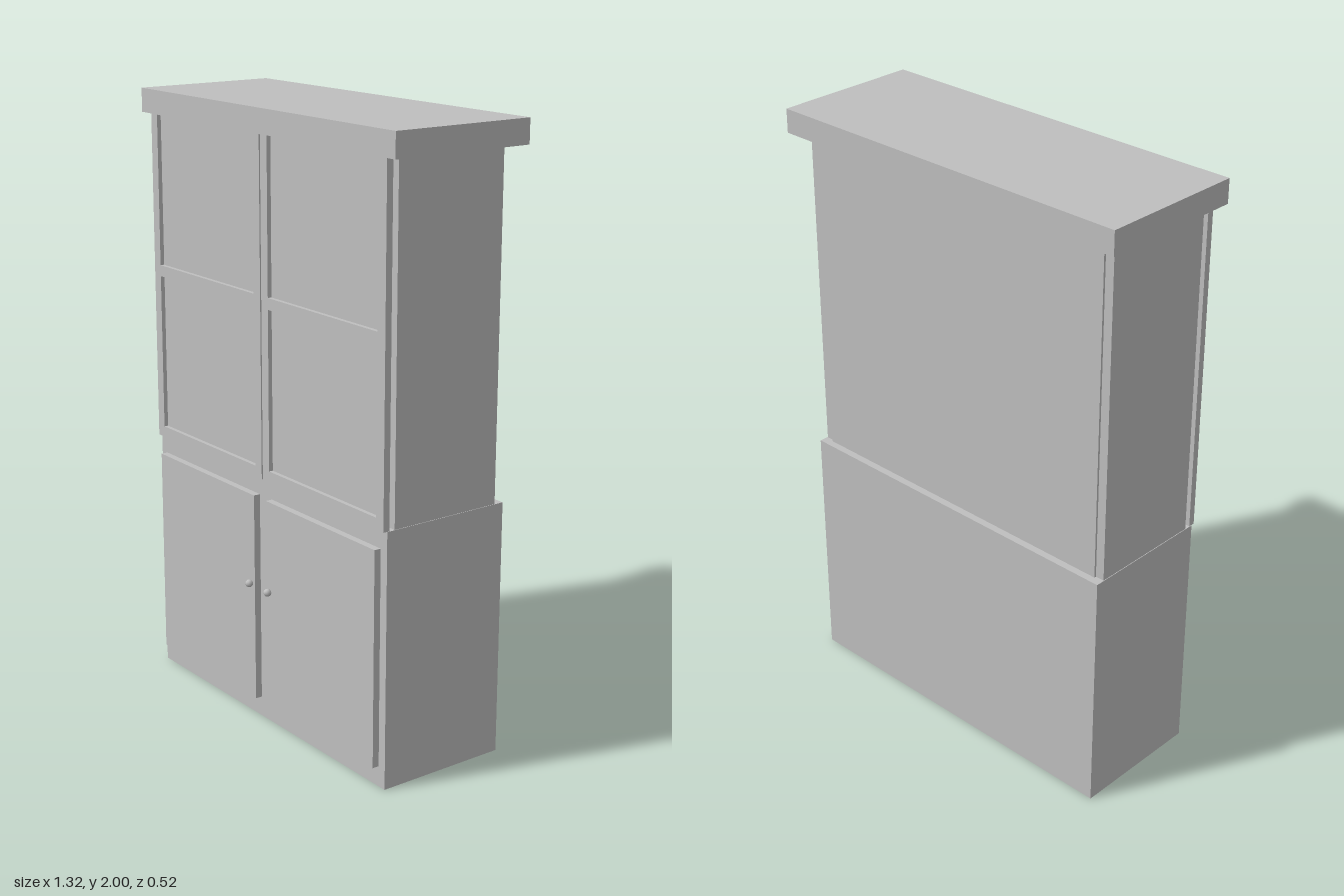
import * as THREE from 'three';

const grey = new THREE.MeshStandardMaterial({ color: 0xbfbfbf });
grey.name = 'plain grey';

// Box given by its lower and upper limits on each axis
function box(name, [x0, x1], [y0, y1], [z0, z1]) {
  const mesh = new THREE.Mesh(new THREE.BoxGeometry(x1 - x0, y1 - y0, z1 - z0), grey);
  mesh.position.set((x0 + x1) / 2, (y0 + y1) / 2, (z0 + z1) / 2);
  mesh.name = name;
  return mesh;
}

// Rectangular outline, as a shape or a hole
function rect(path, x0, x1, y0, y1) {
  path.moveTo(x0, y0);
  path.lineTo(x1, y0);
  path.lineTo(x1, y1);
  path.lineTo(x0, y1);
  path.closePath();
  return path;
}

// Upper door: frame with two openings and recessed panes
function upperDoor(side) {
  const door = new THREE.Group();
  door.name = side > 0 ? 'leftUpperDoor' : 'rightUpperDoor';
  const span = (a, b) => (side > 0 ? [a, b] : [-b, -a]);
  const shape = rect(new THREE.Shape(), ...span(0.003, 0.615), 0.83, 1.95);
  for (const [y0, y1] of [[0.867, 1.387], [1.424, 1.92]]) {
    shape.holes.push(rect(new THREE.Path(), ...span(0.038, 0.58), y0, y1));
  }
  const frame = new THREE.Mesh(
    new THREE.ExtrudeGeometry(shape, { depth: 0.022, bevelEnabled: false }), grey);
  frame.position.z = 0.205;
  frame.name = 'doorFrame';
  door.add(frame, box('doorPanes', span(0.02, 0.6), [0.85, 1.935], [0.203, 0.213]));
  return door;
}

// Lower door: raised slab with a small faceted knob
function lowerDoor(side) {
  const door = new THREE.Group();
  door.name = side > 0 ? 'leftLowerDoor' : 'rightLowerDoor';
  const x = side > 0 ? [0.033, 0.587] : [-0.587, -0.033];
  const knob = new THREE.Mesh(new THREE.SphereGeometry(0.013, 8, 6), grey);
  knob.position.set(side * 0.051, 0.468, 0.247);
  knob.name = 'knob';
  door.add(box('doorSlab', x, [0.067, 0.77], [0.21, 0.237]), knob);
  return door;
}

export function createModel() {
  const model = new THREE.Group();
  model.name = 'cupboard';

  // Base cabinet and cornice
  model.add(
    box('baseCabinet', [-0.617, 0.617], [0, 0.83], [-0.235, 0.214]),
    box('cornice', [-0.66, 0.66], [1.922, 2], [-0.26, 0.234]));

  // Upper case: sides, shelf and a back panel standing slightly proud
  for (const side of [-1, 1]) {
    const x = side > 0 ? [0.585, 0.615] : [-0.615, -0.585];
    model.add(box(side > 0 ? 'leftSide' : 'rightSide', x, [0.825, 1.93], [-0.204, 0.185]));
    model.add(upperDoor(side), lowerDoor(side));
  }
  model.add(
    box('shelf', [-0.585, 0.585], [1.39, 1.42], [-0.19, 0.185]),
    box('backPanel', [-0.585, 0.585], [0.825, 1.93], [-0.211, -0.19]));

  return model;
}
